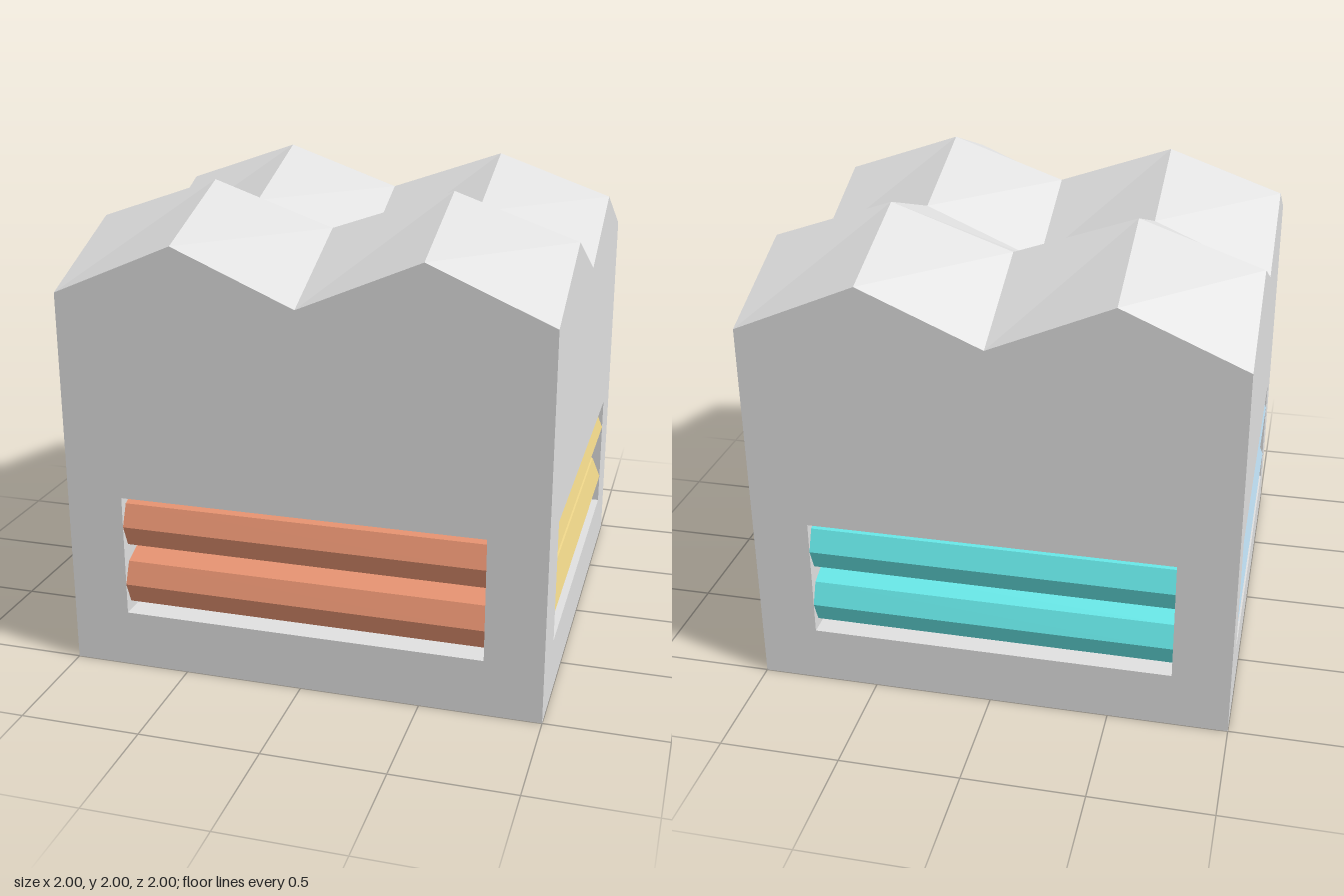
import * as THREE from 'three';

const mat = (name, color) => {
  const m = new THREE.MeshStandardMaterial({ color });
  m.name = name;
  return m;
};

const EAVE = 1.61, RIDGE = 1.825, PEAK = 2.0;
const SLOT_X = 0.76, SLOT_LOW = 0.24, SLOT_HIGH = 0.76, SLOT_BACK = 0.76;
const BAR_R = 0.13;

export function createModel() {
  const model = new THREE.Group();
  model.name = 'zigzagRoofBlock';
  const shell = mat('pale grey', 0xe0e0e0);
  shell.flatShading = true;
  const barMats = [
    mat('orange', 0xe89472), mat('yellow', 0xe8d085),
    mat('cyan', 0x66e8e8), mat('steel blue', 0xb5d4e7),
  ];
  barMats.forEach((m) => { m.flatShading = true; });

  const add = (parent, name, geometry, material) => {
    const mesh = new THREE.Mesh(geometry, material);
    mesh.name = name;
    parent.add(mesh);
    return mesh;
  };

  // Wall outline with a zigzag top and a rectangular slot
  const wall = new THREE.Shape();
  wall.moveTo(-1, 0);
  wall.lineTo(1, 0);
  wall.lineTo(1, EAVE);
  wall.lineTo(0.5, RIDGE);
  wall.lineTo(0, EAVE);
  wall.lineTo(-0.5, RIDGE);
  wall.lineTo(-1, EAVE);
  wall.closePath();
  const slot = new THREE.Path();
  slot.moveTo(-SLOT_X, SLOT_LOW);
  slot.lineTo(-SLOT_X, SLOT_HIGH);
  slot.lineTo(SLOT_X, SLOT_HIGH);
  slot.lineTo(SLOT_X, SLOT_LOW);
  slot.closePath();
  wall.holes.push(slot);
  const wallGeo = new THREE.ShapeGeometry(wall).translate(0, 0, 1);

  // Recess lining: a box turned inside out, without its front face
  const depth = 1 - SLOT_BACK;
  const recessGeo = new THREE.BoxGeometry(2 * SLOT_X, SLOT_HIGH - SLOT_LOW, depth);
  const idx = Array.from(recessGeo.index.array);
  idx.splice(24, 6);
  recessGeo.setIndex(idx.reverse());
  recessGeo.clearGroups();
  recessGeo.translate(0, (SLOT_LOW + SLOT_HIGH) / 2, 1 - depth / 2);
  recessGeo.computeVertexNormals();

  // Octagonal bar lying along x, with one edge facing outwards
  const barGeo = new THREE.CylinderGeometry(BAR_R, BAR_R, 2 * SLOT_X, 8).rotateZ(Math.PI / 2);

  // Four equal sides, each with its own bar colour
  ['front', 'left', 'back', 'right'].forEach((side, i) => {
    const group = new THREE.Group();
    group.name = side + 'Side';
    group.rotation.y = i * Math.PI / 2;
    add(group, side + 'Wall', wallGeo, shell);
    add(group, side + 'Recess', recessGeo, shell);
    [SLOT_LOW + BAR_R, SLOT_HIGH - BAR_R].forEach((y, k) => {
      const bar = add(group, side + (k ? 'UpperBar' : 'LowerBar'), barGeo, barMats[i]);
      bar.position.set(0, y, 1 - BAR_R);
    });
    model.add(group);
  });

  // Roof: a 4 x 4 grid with four pyramid-like peaks
  const roofGeo = new THREE.PlaneGeometry(2, 2, 4, 4).rotateX(-Math.PI / 2);
  const pos = roofGeo.attributes.position;
  const onRidge = (v) => (Math.abs(Math.abs(v) - 0.5) < 0.01 ? 1 : 0);
  for (let i = 0; i < pos.count; i++) {
    pos.setY(i, [EAVE, RIDGE, PEAK][onRidge(pos.getX(i)) + onRidge(pos.getZ(i))]);
  }
  const roof = roofGeo.toNonIndexed();
  roof.computeVertexNormals();
  add(model, 'roof', roof, shell);

  // Underside
  add(model, 'base', new THREE.PlaneGeometry(2, 2).rotateX(Math.PI / 2), shell);

  return model;
}
